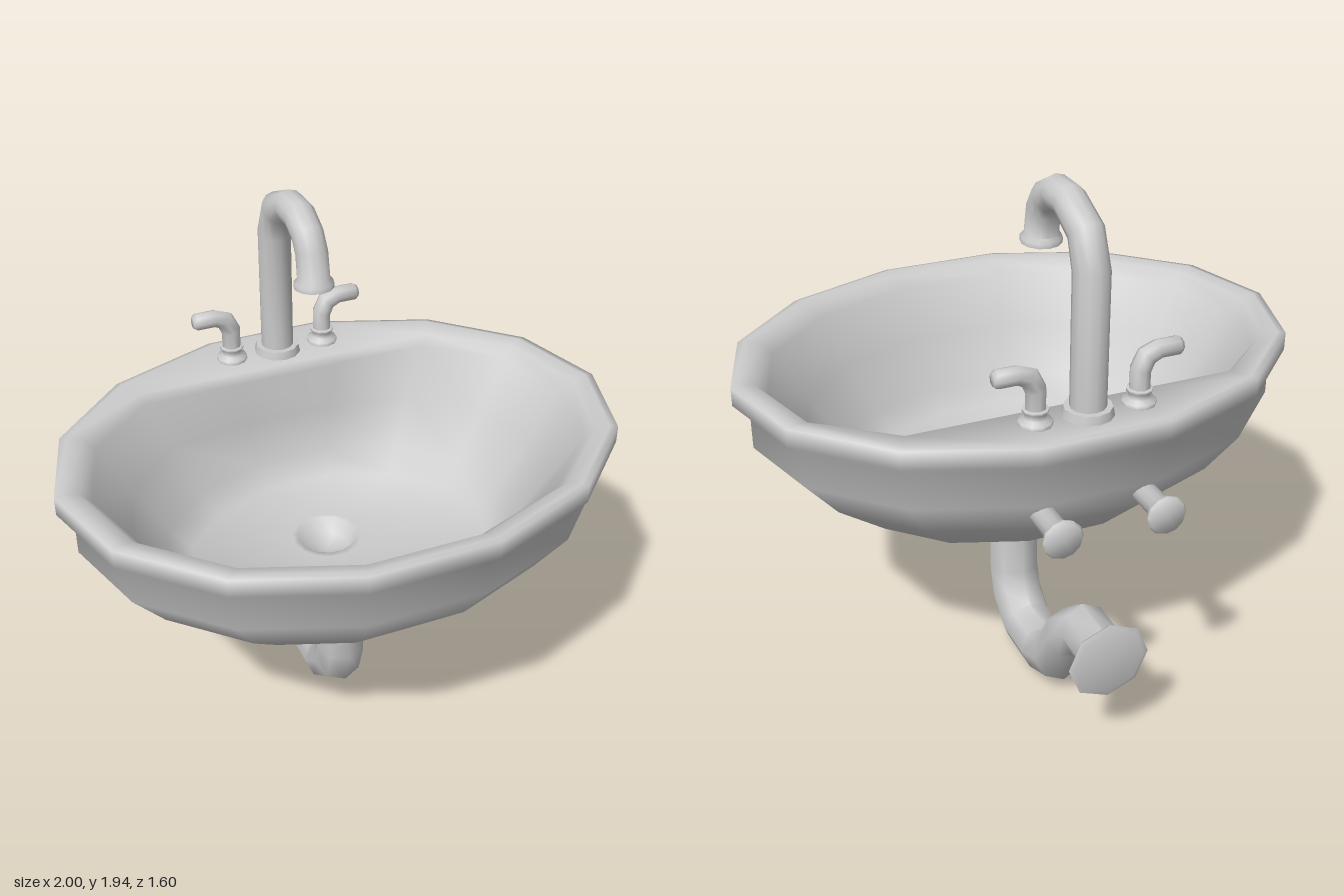
import * as THREE from 'three';
import { toCreasedNormals } from 'three/addons/utils/BufferGeometryUtils.js';

const material = new THREE.MeshStandardMaterial({ color: 0xcccccc });
const V = (x, y, z) => new THREE.Vector3(x, y, z);

// Skin a list of closed rings of equal point count
function loft(rings, crease) {
  const n = rings[0].length, pos = [];
  const tri = (a, b, c) => {
    const area = b.clone().sub(a).cross(c.clone().sub(a)).length();
    if (area > 1e-8) pos.push(...a.toArray(), ...b.toArray(), ...c.toArray());
  };
  for (let i = 0; i < rings.length - 1; i++) {
    for (let j = 0; j < n; j++) {
      const k = (j + 1) % n, p = rings[i], q = rings[i + 1];
      tri(p[j], p[k], q[j]);
      tri(p[k], q[k], q[j]);
    }
  }
  const g = new THREE.BufferGeometry();
  g.setAttribute('position', new THREE.Float32BufferAttribute(pos, 3));
  return toCreasedNormals(g, crease);
}

// Capped, mitred pipe along a planar path; b is the normal of that plane
function pipe(path, radii, b, sides) {
  const rings = path.map((p, i) => {
    const before = i > 0 ? p.clone().sub(path[i - 1]).normalize() : null;
    const after = i < path.length - 1 ? path[i + 1].clone().sub(p).normalize() : null;
    const t = V(0, 0, 0).add(before || after).add(after || before).normalize();
    const n = b.clone().cross(t).multiplyScalar(1 / t.dot(after || before));
    return Array.from({ length: sides }, (_, j) => {
      const a = (j / sides) * Math.PI * 2;
      return p.clone().addScaledVector(n, radii[i] * Math.cos(a)).addScaledVector(b, radii[i] * Math.sin(a));
    });
  });
  const cap = (p) => Array.from({ length: sides }, () => p.clone());
  return loft([cap(path[0]), ...rings, cap(path[path.length - 1])], 1);
}

export function createModel() {
  const model = new THREE.Group();
  const add = (name, geometry, parent = model) => {
    const mesh = new THREE.Mesh(geometry, material);
    mesh.name = name;
    parent.add(mesh);
    return mesh;
  };
  const X = V(1, 0, 0), Z = V(0, 0, 1);
  // Path of [z, y, radius] in the middle plane
  const midPipe = (pts, sides) => pipe(pts.map(([z, y]) => V(0, y, z)), pts.map((p) => p[2]), X, sides);

  // Basin: rings of [rx, rz, y, centre z, rearmost z], drain up to rim, then down the outside
  const basinRings = [
    [0, 0, 0.63, -0.09, -1],
    [0.085, 0.085, 0.64, -0.09, -1],
    [0.11, 0.11, 0.7, -0.09, -1],
    [0.13, 0.13, 0.7, -0.085, -1],
    [0.56, 0.43, 0.75, 0.04, -1],
    [0.64, 0.49, 0.83, 0.04, -0.44],
    [0.76, 0.58, 1.01, 0.04, -0.455],
    [0.88, 0.67, 1.19, 0.04, -0.46],
    [0.92, 0.71, 1.23, 0.04, -0.47],
    [0.97, 0.755, 1.24, 0.04, -1],
    [1.0, 0.775, 1.235, 0.04, -1],
    [1.0, 0.775, 1.17, 0.04, -1],
    [0.945, 0.73, 1.125, 0.04, -1],
    [0.945, 0.73, 1.0, 0.04, -1],
    [0.82, 0.635, 0.855, 0.04, -1],
    [0.625, 0.48, 0.705, 0.04, -1],
    [0.11, 0.11, 0.565, 0.04, -1],
  ].map(([rx, rz, y, cz, back]) => Array.from({ length: 14 }, (_, j) => {
    const a = (j / 14) * Math.PI * 2;
    return V(rx * Math.cos(a), y, Math.max(cz + rz * Math.sin(a), back));
  }));
  add('basin', loft(basinRings, 1.9));

  // Drain collar under the basin
  add('drainCollar', toCreasedNormals(new THREE.CylinderGeometry(0.12, 0.12, 0.035, 8), 1)).position.set(0, 0.553, 0.04);

  // Curved waste pipe ending in a wall flange
  add('wastePipe', midPipe([
    [0.04, 0.58, 0.095], [0.04, 0.28, 0.095], [0.01, 0.18, 0.095], [-0.09, 0.1, 0.095],
    [-0.26, 0.1, 0.094], [-0.37, 0.145, 0.092], [-0.475, 0.31, 0.092], [-0.6, 0.41, 0.09],
    [-0.73, 0.41, 0.09], [-0.755, 0.41, 0.125], [-0.777, 0.41, 0.145], [-0.785, 0.41, 0.125],
  ], 8));

  // Spout with base ring and flared lip
  add('spoutBase', toCreasedNormals(new THREE.CylinderGeometry(0.08, 0.086, 0.03, 12), 1)).position.set(0, 1.253, -0.57);
  add('spout', midPipe([
    [-0.57, 1.24, 0.06], [-0.57, 1.72, 0.06], [-0.525, 1.83, 0.058], [-0.405, 1.886, 0.056],
    [-0.315, 1.886, 0.056], [-0.245, 1.85, 0.056], [-0.21, 1.8, 0.056], [-0.195, 1.715, 0.057],
    [-0.194, 1.7, 0.07], [-0.193, 1.683, 0.07],
  ], 12));

  for (const [side, s] of [['left', 1], ['right', -1]]) {
    // Tap handle pointing outwards
    const tap = new THREE.Group();
    tap.name = side + 'Tap';
    tap.position.set(s * 0.18, 1.24, -0.57);
    model.add(tap);
    add('tapBase', new THREE.LatheGeometry([
      [0.056, 0], [0.056, 0.014], [0.036, 0.022], [0.036, 0.04], [0.043, 0.046], [0.043, 0.056], [0, 0.06],
    ].map(([r, y]) => new THREE.Vector2(r, y)), 10), tap);
    const path = [[0, 0.04], [0, 0.12], [0.02, 0.163], [0.06, 0.18], [0.13, 0.18], [0.143, 0.18]];
    add('tapLever', pipe(path.map(([x, y]) => V(s * x, y, 0)), [0.035, 0.035, 0.034, 0.032, 0.032, 0.022], Z, 8), tap);

    // Wall bracket behind the basin
    const bracket = [[-0.5, 0.041], [-0.75, 0.041], [-0.77, 0.062], [-0.79, 0.069], [-0.8, 0.062]];
    add(side + 'WallBracket', pipe(bracket.map(([z]) => V(s * 0.18, 0.943, z)), bracket.map((p) => p[1]), X, 12));
  }
  return model;
}
